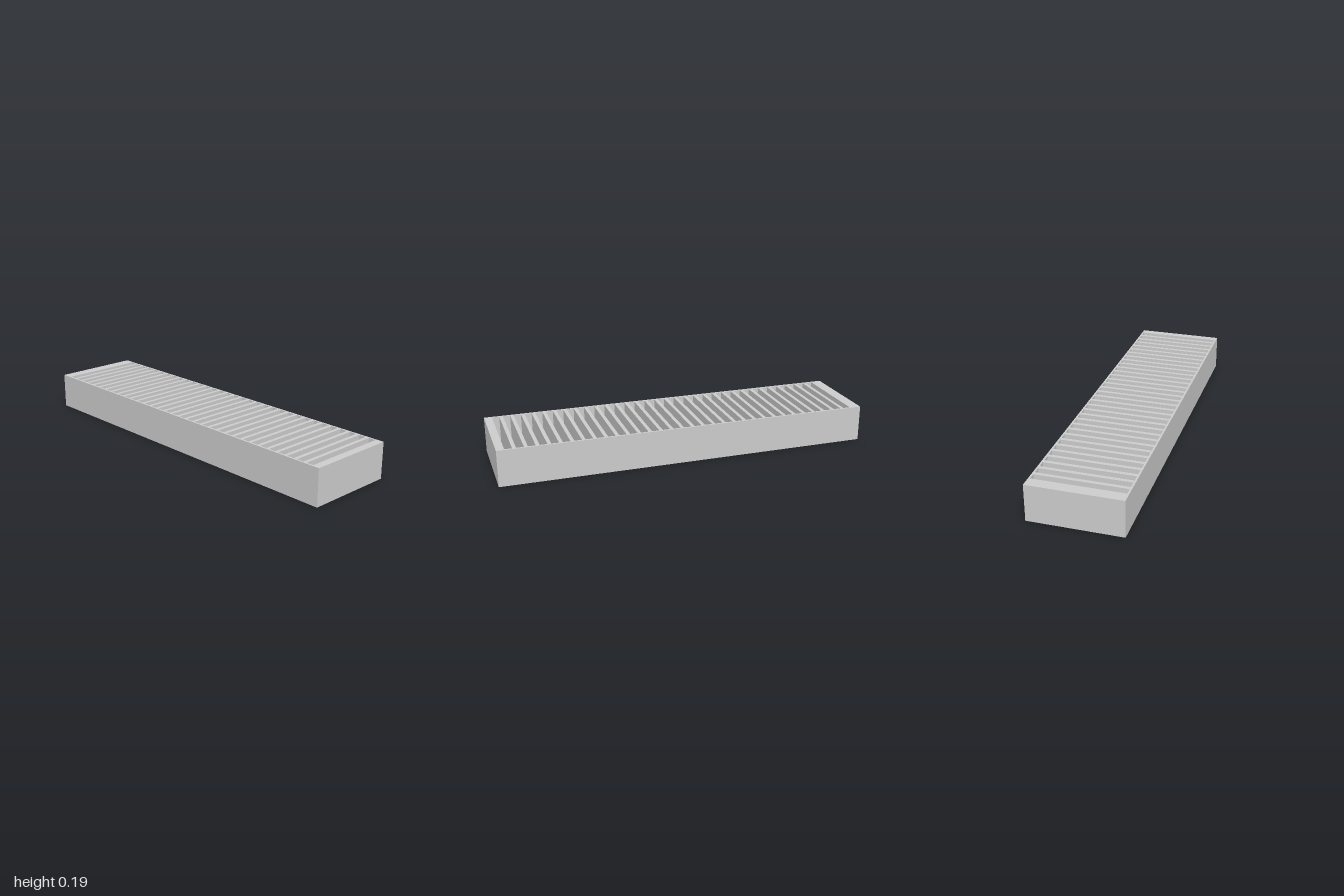
import * as THREE from 'three';

const WIDTH = 0.484, HEIGHT = 0.194, LENGTH = 2;
const FLOOR = 0.02;
const SLOTS = 33, PITCH = 0.0581, SLOT = 0.0387, SLOT_HALF_WIDTH = 0.232;
const FIRST_SLOT = -0.92; // centre of the rearmost slot

// Counter-clockwise rectangle points
function rectangle(x, y0, y1) {
  return [[-x, y0], [x, y0], [x, y1], [-x, y1]].map(([a, b]) => new THREE.Vector2(a, b));
}

export function createModel() {
  const model = new THREE.Group();
  model.name = 'slottedRack';
  const material = new THREE.MeshStandardMaterial({ color: 0xcccccc, flatShading: true });

  // Walls and ribs: a plan outline with one hole per slot, extruded downwards
  const plan = new THREE.Shape(rectangle(WIDTH / 2, -LENGTH / 2, LENGTH / 2));
  for (let i = 0; i < SLOTS; i++) {
    const z = FIRST_SLOT + i * PITCH;
    plan.holes.push(new THREE.Path(rectangle(SLOT_HALF_WIDTH, z - SLOT / 2, z + SLOT / 2).reverse()));
  }
  const bodyGeometry = new THREE.ExtrudeGeometry(plan, { depth: HEIGHT - FLOOR, bevelEnabled: false });
  bodyGeometry.rotateX(Math.PI / 2);
  const body = new THREE.Mesh(bodyGeometry, material);
  body.name = 'slottedBody';
  body.position.y = HEIGHT;
  model.add(body);

  // Solid floor closing the slots
  const floor = new THREE.Mesh(new THREE.BoxGeometry(WIDTH, FLOOR, LENGTH), material);
  floor.name = 'floor';
  floor.position.y = FLOOR / 2;
  model.add(floor);

  return model;
}
